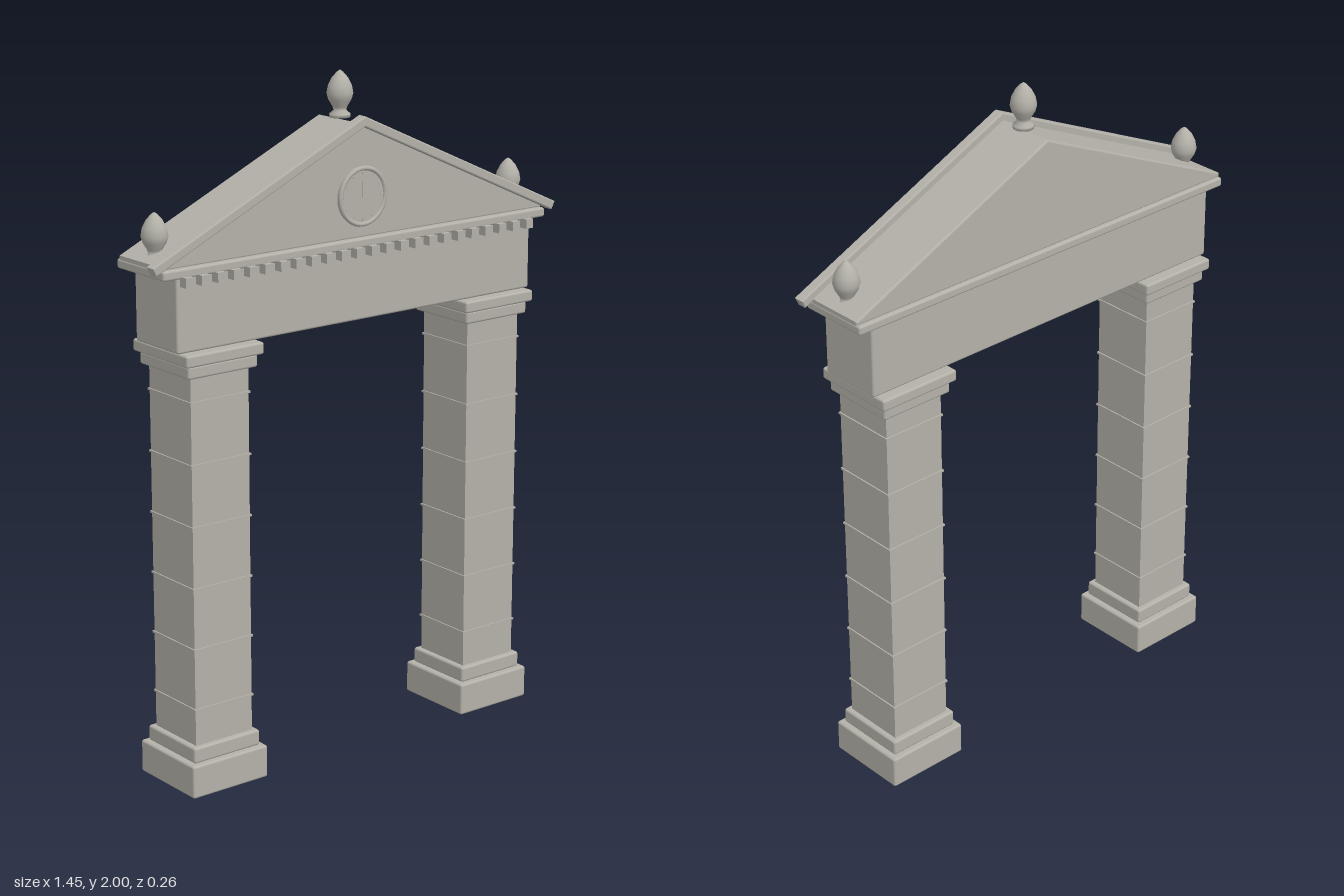
import * as THREE from 'three';
import { RoundedBoxGeometry } from 'three/addons/geometries/RoundedBoxGeometry.js';

const stone = new THREE.MeshStandardMaterial({ color: 0xb3b1a8 });
stone.name = 'stone';

function add(parent, name, geometry, x = 0, y = 0, z = 0) {
  const mesh = new THREE.Mesh(geometry, stone);
  mesh.name = name;
  mesh.position.set(x, y, z);
  parent.add(mesh);
  return mesh;
}

// Block with softened edges, placed by its bottom and top heights
function block(parent, name, width, y0, y1, depth, x = 0, z = 0) {
  const geometry = new RoundedBoxGeometry(width, y1 - y0, depth, 2, 0.007);
  return add(parent, name, geometry, x, (y0 + y1) / 2, z);
}

// Flat outline extruded from z0 to z1 with a small bevel kept inside the outline
function slab(points, z0, z1, bevel) {
  const shape = new THREE.Shape(points.map(([x, y]) => new THREE.Vector2(x, y)));
  return new THREE.ExtrudeGeometry(shape, {
    depth: z1 - z0 - 2 * bevel, bevelThickness: bevel, bevelSize: bevel,
    bevelOffset: -bevel, bevelSegments: 2,
  }).translate(0, 0, z0 + bevel);
}

function makePillar(x) {
  const pillar = new THREE.Group();
  pillar.name = x > 0 ? 'leftPillar' : 'rightPillar';
  pillar.position.x = x;
  block(pillar, 'plinth', 0.262, 0, 0.098, 0.262);
  block(pillar, 'baseMoulding', 0.23, 0.098, 0.145, 0.23);
  add(pillar, 'shaft', new THREE.BoxGeometry(0.197, 1.09, 0.197), 0, 0.685, 0);
  // Thin bands between the stone courses
  for (let i = 0; i < 6; i++) {
    add(pillar, 'courseBand', new THREE.BoxGeometry(0.205, 0.006, 0.205), 0, 0.253 + i * 0.18, 0);
  }
  block(pillar, 'capitalNeck', 0.235, 1.225, 1.262, 0.235);
  block(pillar, 'capitalSlab', 0.262, 1.262, 1.297, 0.262);
  return pillar;
}

function makeFinial(x, y) {
  const profile = [
    [0, 0], [0.03, 0], [0.03, 0.01], [0.018, 0.02], [0.021, 0.03], [0.033, 0.05],
    [0.038, 0.068], [0.034, 0.09], [0.023, 0.112], [0.009, 0.128], [0, 0.134],
  ].map(([r, h]) => new THREE.Vector2(r, h));
  const finial = new THREE.Group();
  finial.name = 'finial';
  add(finial, 'finialBud', new THREE.LatheGeometry(profile, 20));
  finial.position.set(x, y, 0);
  return finial;
}

function makeMedallion() {
  const medallion = new THREE.Group();
  medallion.name = 'medallion';
  medallion.position.set(0, 1.655, 0.09);
  add(medallion, 'disc', new THREE.CylinderGeometry(0.084, 0.084, 0.03, 40).rotateX(Math.PI / 2));
  add(medallion, 'rim', new THREE.TorusGeometry(0.08, 0.007, 8, 40), 0, 0, 0.014);
  // Small marks around the dial
  for (let i = 0; i < 12; i++) {
    const a = (i / 12) * Math.PI * 2;
    const mark = add(medallion, 'dialMark', new THREE.BoxGeometry(0.004, 0.008, 0.004),
      Math.sin(a) * 0.066, Math.cos(a) * 0.066, 0.015);
    mark.rotation.z = -a;
  }
  add(medallion, 'longHand', new THREE.BoxGeometry(0.004, 0.045, 0.004), 0, 0.02, 0.015);
  add(medallion, 'shortHand', new THREE.BoxGeometry(0.028, 0.004, 0.004), 0.012, 0, 0.015);
  return medallion;
}

export function createModel() {
  const model = new THREE.Group();
  model.name = 'gateway';

  for (const side of [-1, 1]) model.add(makePillar(side * 0.5));

  // Beam and cornice
  block(model, 'beam', 1.28, 1.297, 1.515, 0.2);
  block(model, 'cornice', 1.38, 1.508, 1.536, 0.224);

  // Row of dentils under the front of the cornice
  const dentils = new THREE.Group();
  dentils.name = 'dentils';
  model.add(dentils);
  for (let i = 0; i < 24; i++) {
    add(dentils, 'dentil', new THREE.BoxGeometry(0.027, 0.028, 0.036), (i - 11.5) * 0.0535, 1.499, 0.11);
  }

  // Solid gable with sloping mouldings along its front
  add(model, 'gable', slab([[-0.69, 1.534], [0.69, 1.534], [0.69, 1.546], [0, 1.86], [-0.69, 1.546]],
    -0.1, 0.094, 0.005));
  add(model, 'rakingCornice', slab([
    [0, 1.883], [-0.727, 1.551], [-0.715, 1.527], [0, 1.853], [0.715, 1.527], [0.727, 1.551],
  ], 0.083, 0.116, 0.004));
  model.add(makeMedallion());

  // Finials on the ridge and the two eaves
  model.add(makeFinial(0, 1.866), makeFinial(-0.64, 1.542), makeFinial(0.64, 1.542));
  return model;
}
